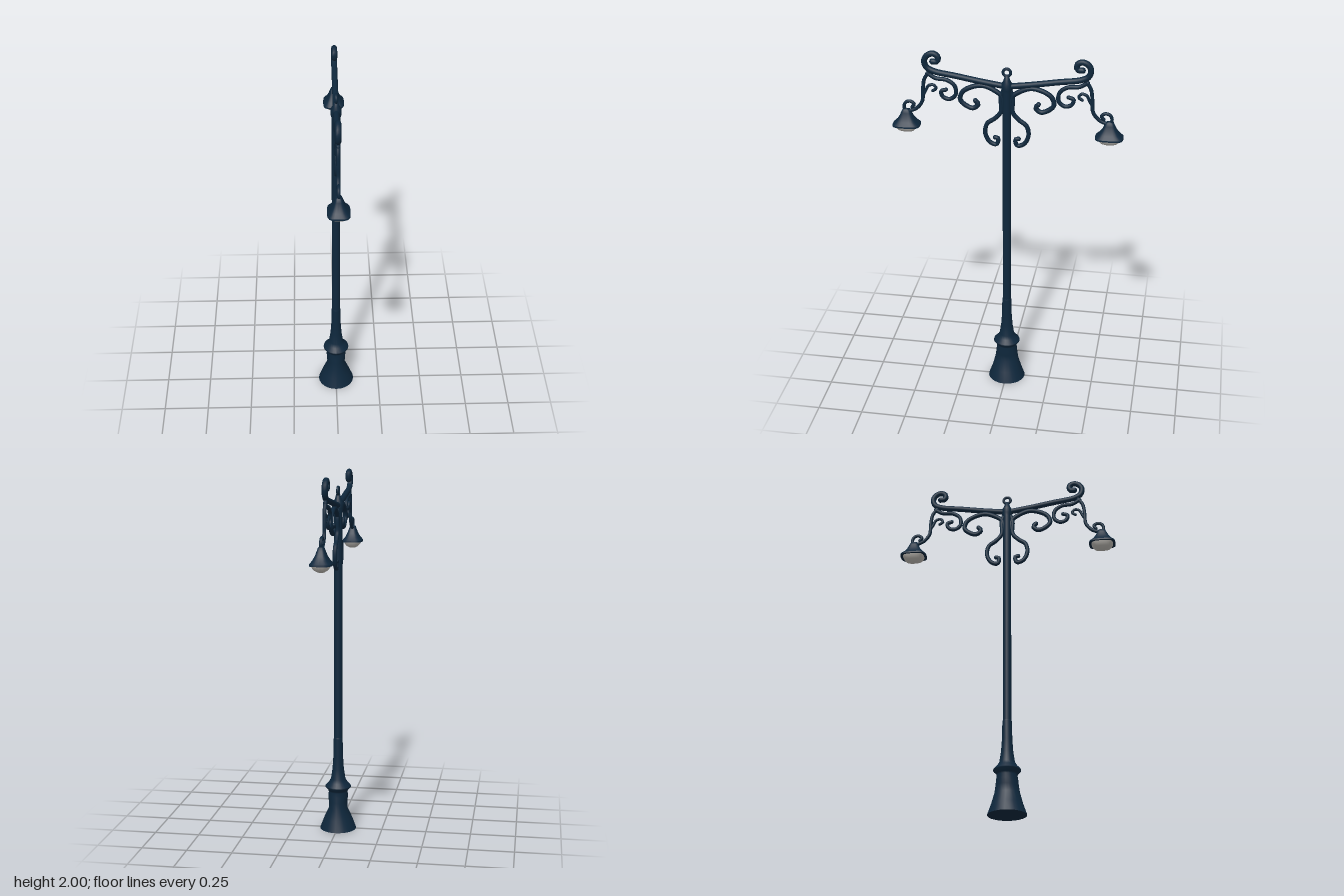
import * as THREE from 'three';

const iron = new THREE.MeshStandardMaterial({ color: 0x0e273c });
iron.name = 'dark blue iron';
const glass = new THREE.MeshStandardMaterial({ color: 0xb9b6b0 });
glass.name = 'pale lamp glass';

function add(group, name, geometry, material = iron) {
  const mesh = new THREE.Mesh(geometry, material);
  mesh.name = name;
  group.add(mesh);
  return mesh;
}

// Round bar along [z, y] points in the plane of the arms, with rounded ends
function bar(group, name, radius, points) {
  const path = points.map(([z, y]) => new THREE.Vector3(0, y, z));
  const curve = new THREE.CatmullRomCurve3(path, false, 'centripetal');
  const part = new THREE.Group();
  part.name = name;
  add(part, name + 'Bar', new THREE.TubeGeometry(curve, points.length * 5, radius, 10));
  for (const end of [path[0], path[path.length - 1]]) {
    add(part, name + 'End', new THREE.SphereGeometry(radius, 10, 6)).position.copy(end);
  }
  group.add(part);
}

// Turned shape from [radius, y] points, listed upward
function turned(points, segments) {
  return new THREE.LatheGeometry(points.map(([r, y]) => new THREE.Vector2(r, y)), segments);
}

// Turned shape squeezed into a rounded rectangle, narrower across x
function roundedSquare(points) {
  const geometry = turned(points, 32);
  const p = geometry.attributes.position;
  for (let i = 0; i < p.count; i++) {
    const x = p.getX(i), z = p.getZ(i), r = Math.hypot(x, z);
    if (r < 1e-6) continue;
    const k = Math.pow((x / r) ** 4 + (z / r) ** 4, -0.22);
    p.setX(i, x * k * 0.78);
    p.setZ(i, z * k);
  }
  geometry.computeVertexNormals();
  return geometry;
}

function createArm() {
  const arm = new THREE.Group();

  // Main arm with its upturned end curl
  bar(arm, 'mainArm', 0.016, [[0, 1.825], [0.14, 1.845], [0.27, 1.867], [0.39, 1.887], [0.428, 1.908],
    [0.438, 1.945], [0.42, 1.974], [0.39, 1.984], [0.365, 1.968], [0.37, 1.942], [0.395, 1.94]]);

  // Ornamental scrolls under the arm
  bar(arm, 'upperScroll', 0.013, [[0.012, 1.69], [0.03, 1.77], [0.064, 1.798], [0.127, 1.822], [0.19, 1.81],
    [0.238, 1.778], [0.249, 1.735], [0.217, 1.703], [0.18, 1.692], [0.153, 1.715], [0.168, 1.735]]);
  bar(arm, 'lowerScroll', 0.012, [[0.02, 1.8], [0.032, 1.76], [0.032, 1.68], [0.064, 1.64], [0.106, 1.607],
    [0.116, 1.55], [0.092, 1.502], [0.056, 1.49], [0.047, 1.525], [0.064, 1.53]]);
  bar(arm, 'outerScroll', 0.011, [[0.423, 1.873], [0.38, 1.848], [0.32, 1.841], [0.278, 1.81], [0.274, 1.76],
    [0.307, 1.734], [0.342, 1.745], [0.352, 1.775], [0.325, 1.786]]);

  // Lamp hanger and its small curls
  bar(arm, 'lampHanger', 0.01, [[0.412, 1.883], [0.44, 1.84], [0.45, 1.777], [0.455, 1.713],
    [0.487, 1.67], [0.525, 1.652], [0.545, 1.645]]);
  bar(arm, 'hangerCurl', 0.008, [[0.453, 1.74], [0.434, 1.775], [0.42, 1.802], [0.393, 1.809],
    [0.378, 1.79], [0.397, 1.775]]);
  bar(arm, 'lampCurl', 0.009, [[0.545, 1.645], [0.556, 1.676], [0.545, 1.7], [0.52, 1.707],
    [0.5, 1.692], [0.513, 1.674]]);

  // Lamp shade and glass bowl
  const shade = roundedSquare([[0, 1.57], [0.075, 1.57], [0.075, 1.57], [0.074, 1.578], [0.074, 1.578],
    [0.054, 1.597], [0.038, 1.62], [0.028, 1.642], [0.02, 1.66], [0, 1.667]]);
  add(arm, 'lampShade', shade).position.z = 0.545;
  const bowl = roundedSquare([[0, 1.532], [0.022, 1.535], [0.043, 1.545], [0.056, 1.558], [0.062, 1.573]]);
  add(arm, 'lampGlass', bowl, glass).position.z = 0.545;
  return arm;
}

export function createModel() {
  const model = new THREE.Group();
  model.name = 'streetLamp';

  // Flared base, pinched at the waist across x
  const base = turned([[0, 0], [0.105, 0], [0.105, 0], [0.084, 0.06], [0.068, 0.12], [0.062, 0.16], [0.059, 0.19],
    [0.055, 0.215], [0.058, 0.225], [0.075, 0.243], [0.073, 0.25], [0.054, 0.27], [0.042, 0.29],
    [0.033, 0.35], [0.028, 0.42], [0.026, 0.52], [0.023, 0.53]], 24);
  const p = base.attributes.position;
  for (let i = 0; i < p.count; i++) {
    const pinch = 0.22 * Math.exp(-(((p.getY(i) - 0.125) / 0.045) ** 2));
    p.setX(i, p.getX(i) * (0.97 - pinch));
  }
  base.computeVertexNormals();
  add(model, 'base', base);

  // Pole and top collar
  add(model, 'pole', turned([[0.023, 0.5], [0.023, 1.79], [0.029, 1.81], [0.029, 1.84],
    [0.018, 1.86], [0.011, 1.885], [0, 1.887]], 20));

  // Ring finial
  const ring = add(model, 'finialRing', new THREE.TorusGeometry(0.02, 0.008, 10, 24));
  ring.rotation.y = Math.PI / 2;
  ring.position.y = 1.903;

  // Matching arms, front and back
  for (const [name, turn] of [['frontArm', 0], ['backArm', Math.PI]]) {
    const arm = createArm();
    arm.name = name;
    arm.rotation.y = turn;
    model.add(arm);
  }
  return model;
}
